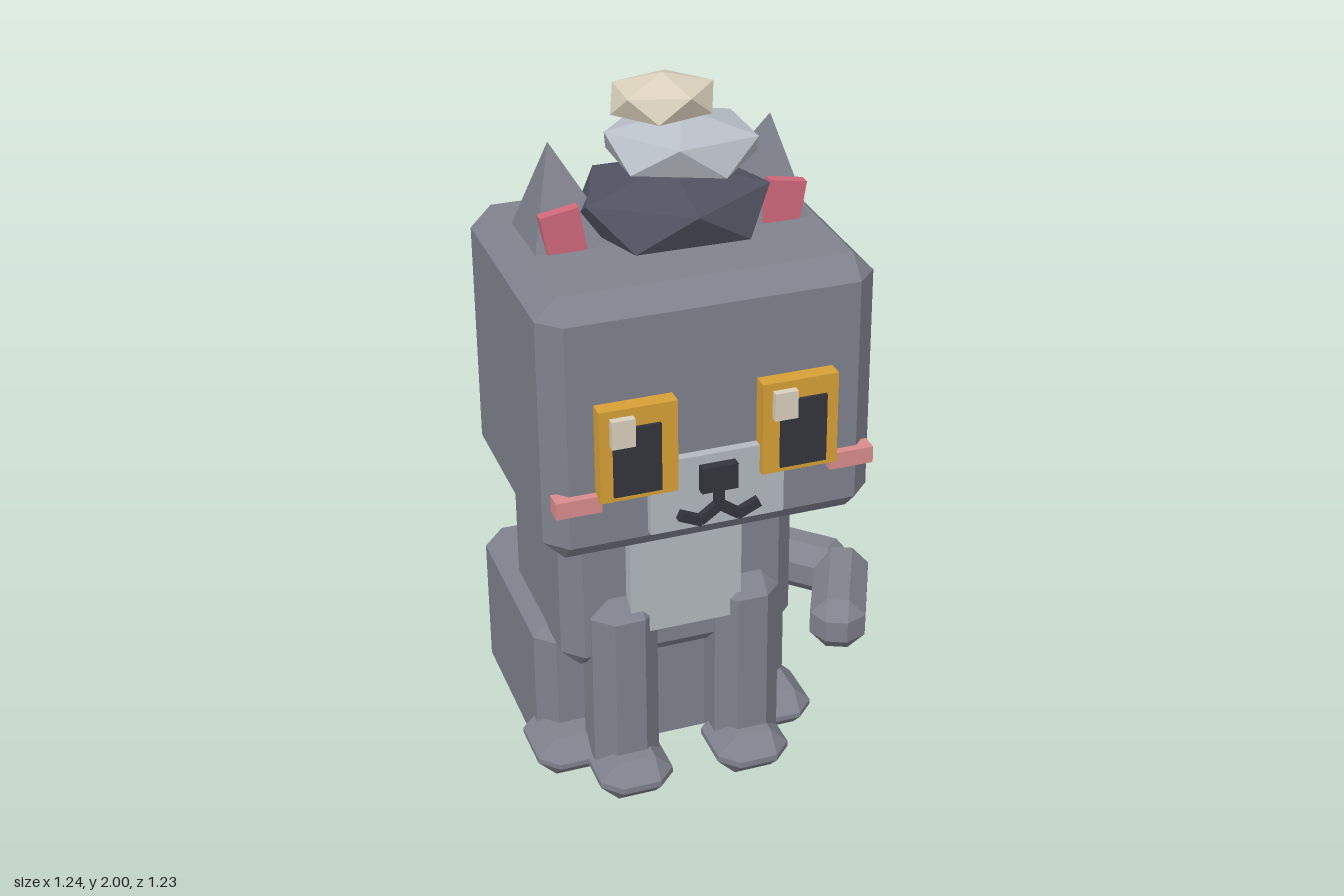
import * as THREE from 'three';
import { ConvexGeometry } from 'three/addons/geometries/ConvexGeometry.js';

const MID = -0.18; // mirror plane of the seated body

function mat(name, color) {
  const m = new THREE.MeshStandardMaterial({ color });
  m.name = name;
  m.flatShading = true;
  return m;
}

// Box with every edge cut off at 45 degrees; the bottom edges may stay square
function chamferBox(w, h, d, c, squareBottom = false) {
  const pts = [];
  const x = w / 2, y = h / 2, z = d / 2;
  for (const sx of [-1, 1]) for (const sy of [-1, 1]) for (const sz of [-1, 1]) {
    const cy = squareBottom && sy < 0 ? 0 : c;
    pts.push(new THREE.Vector3(sx * x, sy * (y - cy), sz * (z - c)));
    pts.push(new THREE.Vector3(sx * (x - c), sy * (y - cy), sz * z));
    if (cy) pts.push(new THREE.Vector3(sx * (x - c), sy * y, sz * (z - c)));
  }
  return new ConvexGeometry(pts);
}

export function createModel() {
  const root = new THREE.Group();
  root.name = 'seatedCat';

  const fur = mat('grey fur', 0x80828d);
  const pale = mat('pale fur', 0xb4b9c0);
  const amber = mat('amber eye', 0xd7a037);
  const black = mat('near black', 0x34343c);
  const cream = mat('cream', 0xdad0bc);
  const pink = mat('ear pink', 0xd0697c);
  const blush = mat('cheek blush', 0xd98c8c);
  const darkStone = mat('dark stone', 0x505260);
  const lightStone = mat('light stone', 0xbac0c8);

  function add(name, geo, material, x = 0, y = 0, z = 0) {
    const m = new THREE.Mesh(geo, material);
    m.name = name;
    m.position.set(x, y, z);
    root.add(m);
    return m;
  }
  // Boxes given by their limits on each axis
  const block = (name, material, [x0, x1], [y0, y1], [z0, z1], c = 0, sq = false) => add(
    name,
    c ? chamferBox(x1 - x0, y1 - y0, z1 - z0, c, sq) : new THREE.BoxGeometry(x1 - x0, y1 - y0, z1 - z0),
    material, (x0 + x1) / 2, (y0 + y1) / 2, (z0 + z1) / 2);

  // Head, torso and hindquarters
  block('head', fur, [-0.615, 0.25], [0.875, 1.59], [-0.145, 0.55], 0.055);
  block('torso', fur, [-0.51, 0.145], [0.365, 1.04], [-0.225, 0.295], 0.052);
  block('chest', pale, [-0.34, -0.03], [0.49, 0.9], [0.27, 0.335]);
  block('haunches', fur, [-0.55, 0.185], [0.01, 0.435], [-0.445, 0.158], 0.05, true);

  // Legs, paws and ears on both sides
  for (const s of [-1, 1]) {
    const side = s > 0 ? 'left' : 'right';
    const lx = -0.175 + s * 0.174;
    const fx = MID + s * 0.169;
    const rx = MID + s * 0.3;
    block(side + 'FrontLeg', fur, [lx - 0.092, lx + 0.092], [0.02, 0.59], [0.165, 0.353], 0.05);
    block(side + 'FrontPaw', fur, [fx - 0.103, fx + 0.103], [0, 0.118], [0.2, 0.437], 0.05);
    block(side + 'RearPaw', fur, [rx - 0.103, rx + 0.103], [0.005, 0.12], [0.03, 0.28], 0.05);

    // Leaning four-sided ear
    const corner = (x, y, z) => new THREE.Vector3(MID + s * x, y, z);
    add(side + 'Ear', new ConvexGeometry([
      corner(0.365, 1.57, 0.03), corner(0.365, 1.57, 0.26),
      corner(0.15, 1.6, 0.03), corner(0.15, 1.6, 0.26),
      corner(0.29, 1.838, 0.147),
    ]), fur);
    const inner = add(side + 'InnerEar', new THREE.BoxGeometry(0.1, 0.115, 0.03), pink, MID + s * 0.288, 1.64, 0.245);
    inner.rotation.z = -s * 0.17;
  }

  // Eyes, with pupil and glint offset the same way on both sides
  for (const [side, x, p, g] of [['right', -0.493, -0.46, -0.467], ['left', -0.075, -0.03, -0.05]]) {
    block(side + 'Eye', amber, [x, x + 0.199], [1.07, 1.32], [0.54, 0.593]);
    block(side + 'Pupil', black, [p, p + 0.122], [1.085, 1.27], [0.58, 0.601]);
    block(side + 'EyeGlint', cream, [g, g + 0.06], [1.225, 1.3], [0.58, 0.613]);
  }
  block('rightCheek', blush, [-0.6, -0.483], [1.035, 1.08], [0.525, 0.572]);
  block('leftCheek', blush, [0.115, 0.233], [1.035, 1.08], [0.525, 0.572]);

  // Muzzle, nose and mouth
  block('muzzle', pale, [-0.36, -0.01], [0.945, 1.145], [0.54, 0.575]);
  block('nose', black, [-0.235, -0.14], [1.05, 1.12], [0.56, 0.6]);
  block('mouthStem', black, [-0.198, -0.173], [0.995, 1.06], [0.56, 0.594]);
  for (const s of [-1, 1]) {
    for (const [x0, y0, x1, y1] of [[0, 1.005, 0.052, 0.968], [0.045, 0.966, 0.105, 0.993]]) {
      const bar = add('mouthBar', new THREE.BoxGeometry(Math.hypot(x1 - x0, y1 - y0), 0.025, 0.034), black,
        -0.185 + s * (x0 + x1) / 2, (y0 + y1) / 2, 0.577);
      bar.rotation.z = s * Math.atan2(y1 - y0, x1 - x0);
    }
  }

  // Tail curling forward in three straight pieces, in x and z
  const tail = [
    [-0.015, -0.434, 0.33, -0.56],
    [0.304, -0.569, 0.564, -0.306],
    [0.57, -0.355, 0.403, 0],
  ];
  tail.forEach(([x0, z0, x1, z1], i) => {
    const seg = add('tailSegment' + (i + 1), chamferBox(0.165, 0.168, Math.hypot(x1 - x0, z1 - z0), 0.05), fur,
      (x0 + x1) / 2, 0.11, (z0 + z1) / 2);
    seg.rotation.y = Math.atan2(x1 - x0, z1 - z0);
  });

  // Three flattened stones balanced on the head
  function stone(name, material, pos, radii, turn, tilt) {
    const geo = new THREE.IcosahedronGeometry(1, 0);
    geo.rotateZ(Math.atan(2 / (1 + Math.sqrt(5)))); // one corner straight up
    geo.rotateY(turn);
    geo.scale(...radii);
    add(name, geo, material, ...pos).rotation.z = tilt;
  }
  stone('bottomStone', darkStone, [-0.175, 1.66, 0.203], [0.28, 0.105, 0.25], 0.3, 0);
  stone('middleStone', lightStone, [-0.145, 1.815, 0.203], [0.225, 0.088, 0.19], 0, -0.06);
  stone('topStone', cream, [-0.193, 1.935, 0.2], [0.147, 0.065, 0.128], 0.6, 0);

  return root;
}
